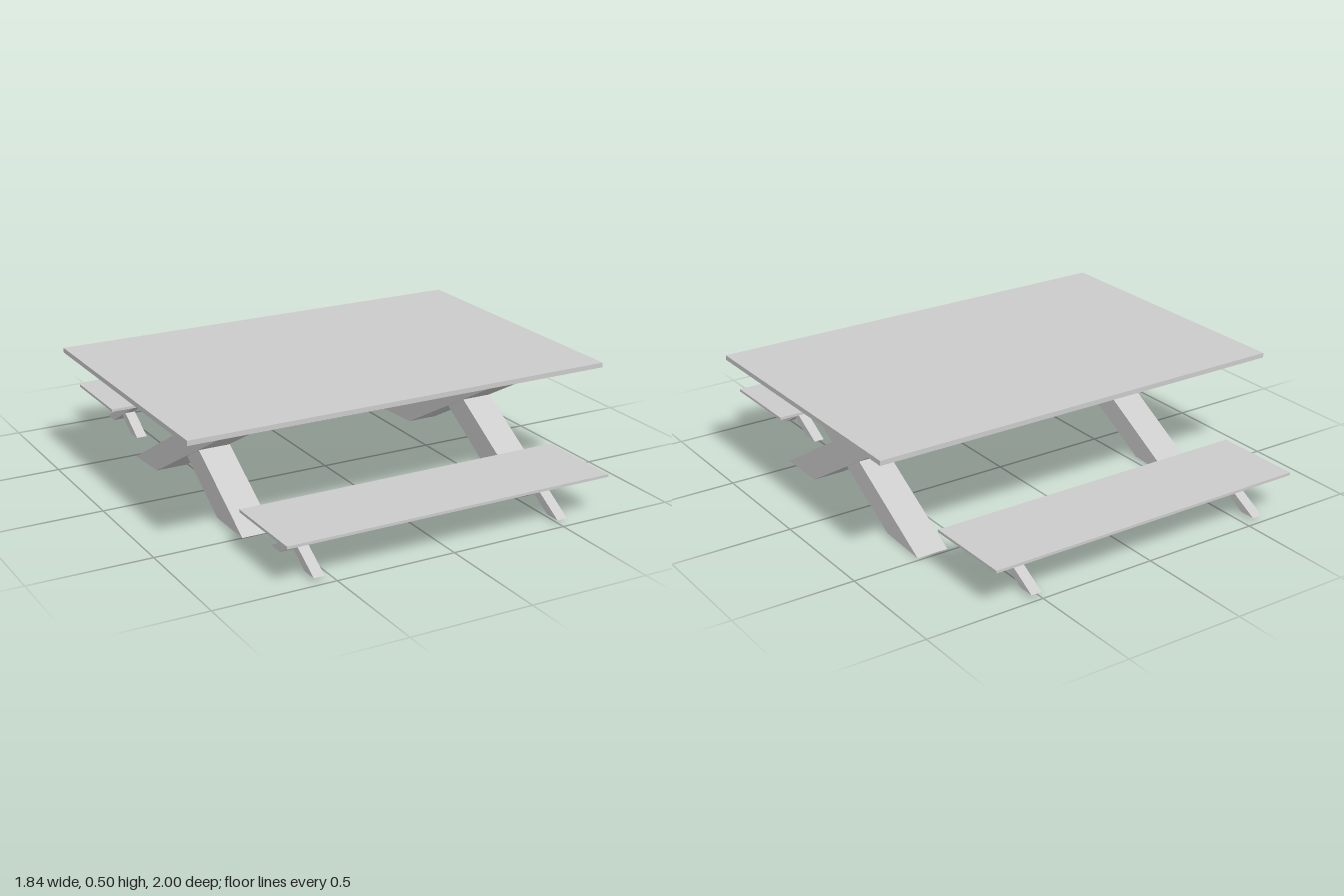
import * as THREE from 'three';

const material = new THREE.MeshStandardMaterial({ color: 0xcccccc, flatShading: true });

// Flat board between two corners
function board(name, [x0, y0, z0], [x1, y1, z1]) {
  const mesh = new THREE.Mesh(new THREE.BoxGeometry(x1 - x0, y1 - y0, z1 - z0), material);
  mesh.position.set((x0 + x1) / 2, (y0 + y1) / 2, (z0 + z1) / 2);
  mesh.name = name;
  return mesh;
}

// Slanted beam: a [z, y] outline extruded across x from x0 to x1
function beam(name, outline, x0, x1) {
  const shape = new THREE.Shape(outline.map(([z, y]) => new THREE.Vector2(z, y)));
  const geometry = new THREE.ExtrudeGeometry(shape, { depth: x1 - x0, bevelEnabled: false });
  geometry.rotateY(-Math.PI / 2).translate(x1, 0, 0);
  const mesh = new THREE.Mesh(geometry, material);
  mesh.name = name;
  return mesh;
}

// Two beams crossing in an X; the second sits a hair to the side
function crossLeg(name, [rising, falling], x, width, shift) {
  const leg = new THREE.Group();
  leg.name = name;
  leg.add(
    beam('forwardBeam', rising, x, x + width),
    beam('backwardBeam', falling, x + shift, x + shift + width)
  );
  return leg;
}

const TABLE_CROSS = [
  [[-0.485, 0], [-0.265, 0.012], [0.58, 0.48], [0.36, 0.48]],
  [[0.31, 0.015], [0.53, 0.015], [-0.235, 0.48], [-0.455, 0.48]],
];
const BENCH_CROSS = [
  [[0.64, 0.015], [0.71, 0.015], [0.98, 0.167], [0.915, 0.167]],
  [[0.9, 0.015], [0.97, 0.015], [0.715, 0.167], [0.65, 0.167]],
];

export function createModel() {
  const model = new THREE.Group();
  model.name = 'picnicTable';

  // Table
  const table = new THREE.Group();
  table.name = 'table';
  table.add(
    board('tableTop', [-0.92, 0.48, -0.58], [0.92, 0.5, 0.655]),
    crossLeg('rightTableLeg', TABLE_CROSS, -0.654, 0.134, 0.005),
    crossLeg('leftTableLeg', TABLE_CROSS, 0.58, 0.134, 0.005)
  );
  model.add(table);

  // Two identical benches, the rear one shifted back
  for (const [name, z] of [['frontBench', 0], ['backBench', -1.62]]) {
    const bench = new THREE.Group();
    bench.name = name;
    bench.add(
      board('benchSeat', [-0.703, 0.167, 0.62], [0.705, 0.178, 1]),
      crossLeg('rightBenchLeg', BENCH_CROSS, -0.582, 0.045, 0.002),
      crossLeg('leftBenchLeg', BENCH_CROSS, 0.492, 0.045, 0.002)
    );
    bench.position.z = z;
    model.add(bench);
  }
  return model;
}
